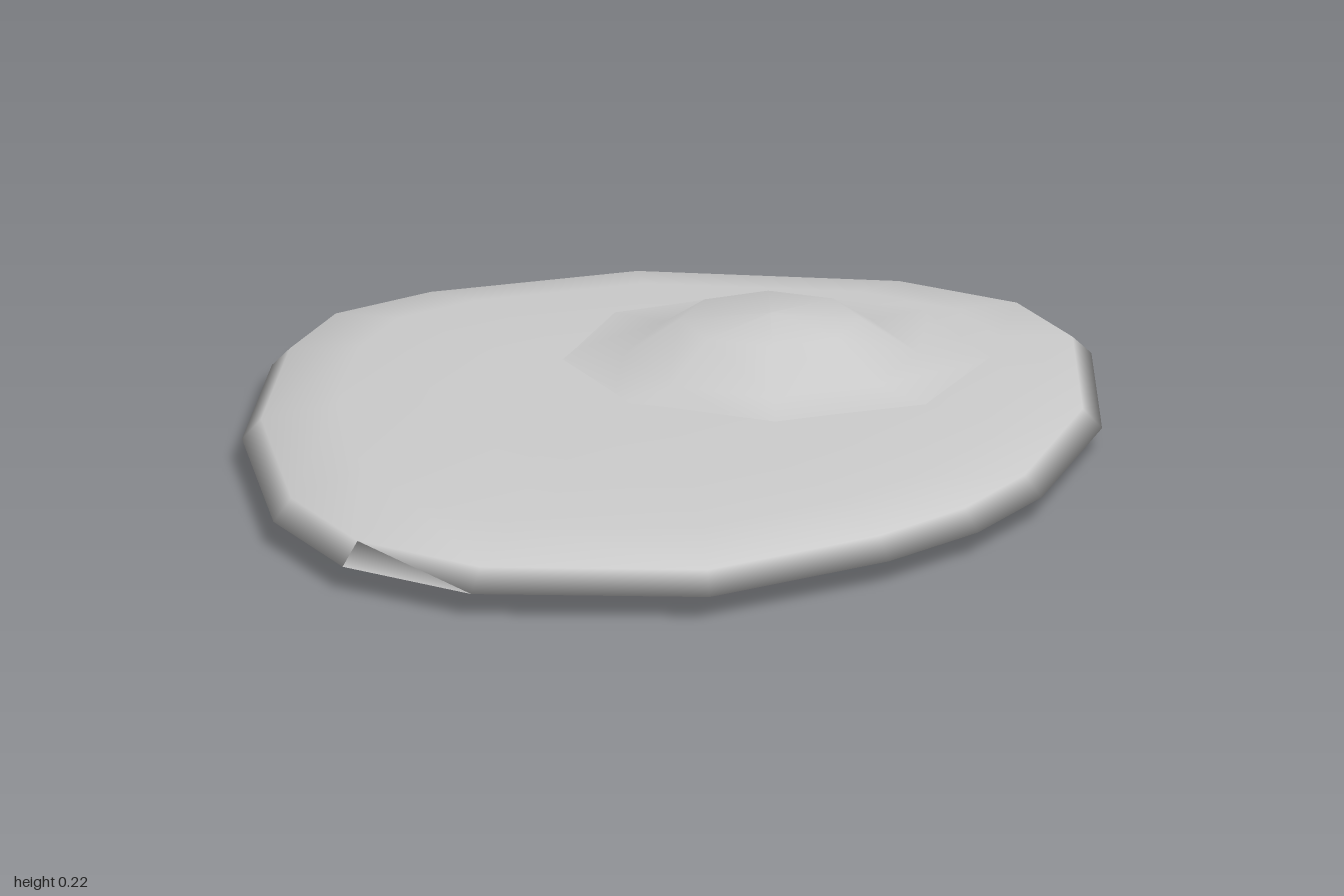
import * as THREE from 'three';

// Plan outline of the widest edge, as [x, z]
const OUTLINE = [
  [-0.05, -1], [0.49, -0.92], [0.73, -0.77], [0.84, -0.54],
  [0.85, -0.06], [0.72, 0.38], [0.59, 0.6], [0.41, 0.78],
  [0.05, 1], [-0.42, 0.97], [-0.67, 0.79], [-0.8, 0.5],
  [-0.85, -0.03], [-0.78, -0.5], [-0.68, -0.73], [-0.48, -0.87],
];

// Scaled copies of the outline from underside to top, as [scale, y]
const RINGS = [[0.4, 0.008], [0.76, 0.016], [1, 0.05], [0.955, 0.092], [0.78, 0.124], [0.4, 0.126]];

// Lofts the rings and closes both ends with a fan
function slabGeometry() {
  const n = OUTLINE.length;
  const positions = [];
  const index = [];
  for (const [s, y] of RINGS) {
    for (const [x, z] of OUTLINE) positions.push(x * s, y, z * s);
  }
  const bottom = RINGS.length * n;
  const top = bottom + 1;
  const last = bottom - n;
  positions.push(0, 0, 0, 0, 0.127, 0);
  for (let j = 0; j < n; j++) {
    const k = (j + 1) % n;
    for (let i = 0; i < RINGS.length - 1; i++) {
      const a = i * n + j, b = i * n + k;
      index.push(a, a + n, b + n, a, b + n, b);
    }
    index.push(bottom, j, k, top, last + k, last + j);
  }
  const geometry = new THREE.BufferGeometry();
  geometry.setAttribute('position', new THREE.Float32BufferAttribute(positions, 3));
  geometry.setIndex(index);
  geometry.computeVertexNormals();
  return geometry;
}

export function createModel() {
  const model = new THREE.Group();
  model.name = 'flatStone';
  const material = new THREE.MeshStandardMaterial({ color: 0xcccccc });

  // Thin rounded slab
  const slab = new THREE.Mesh(slabGeometry(), material);
  slab.name = 'slab';
  model.add(slab);

  // Low eight-sided bump, its skirt sinking into the slab
  const profile = [[0.46, 0.122], [0.29, 0.136], [0.18, 0.207], [0, 0.22]]
    .map(([r, y]) => new THREE.Vector2(r, y));
  const bump = new THREE.Mesh(new THREE.LatheGeometry(profile, 8), material);
  bump.name = 'bump';
  bump.position.set(0.2, 0, -0.29);
  model.add(bump);

  return model;
}
